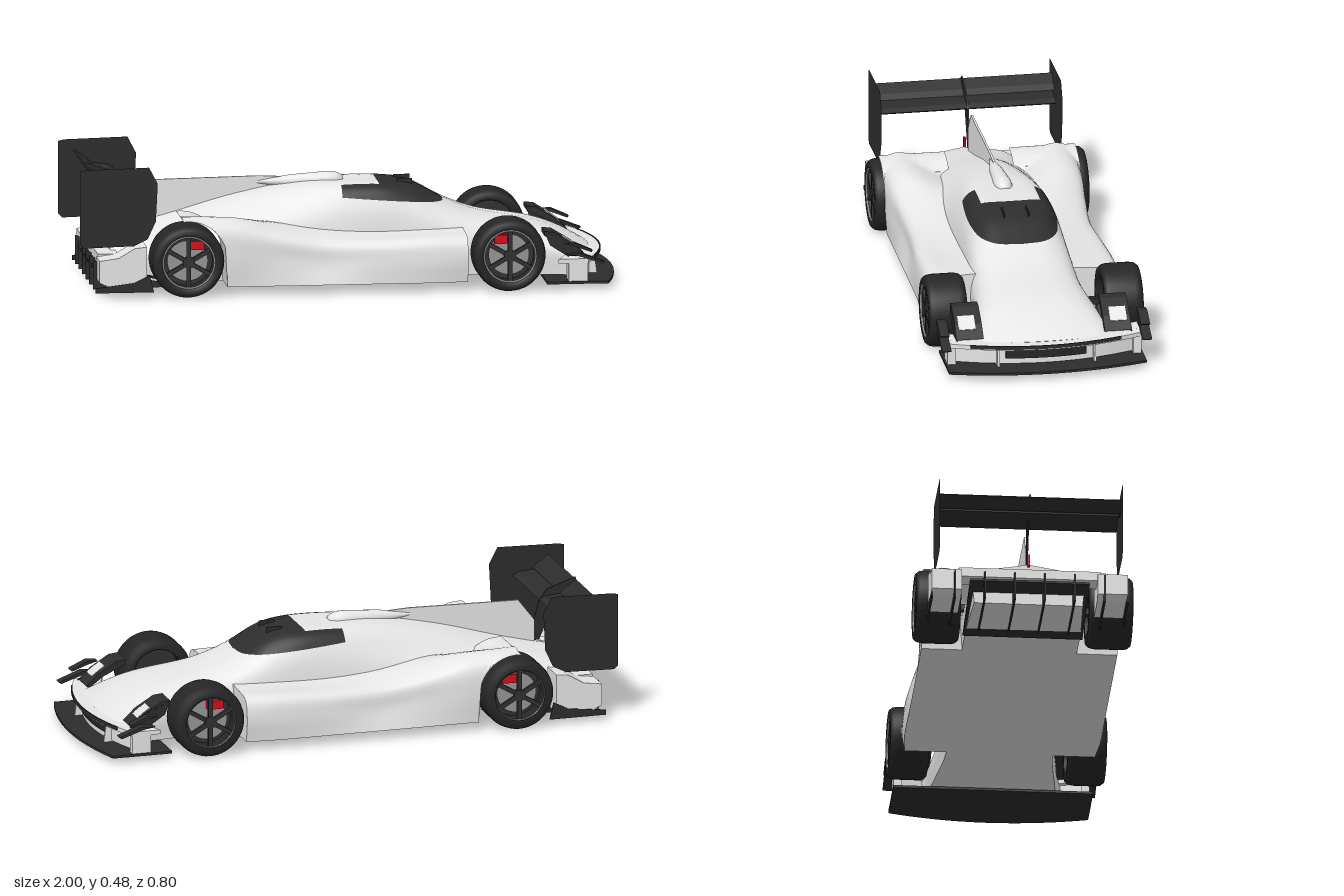
import * as THREE from 'three';
import { toCreasedNormals } from 'three/addons/utils/BufferGeometryUtils.js';

const mat = (name, color, side = THREE.FrontSide) => {
  const m = new THREE.MeshStandardMaterial({ color, side });
  m.name = name;
  return m;
};

// Half cross-section: flat floor from the first point, then a spline through the rest
function profile(pts, n = 22) {
  const v = pts.map(([z, y]) => new THREE.Vector3(0, y, z));
  return [v[0], ...new THREE.CatmullRomCurve3(v.slice(1)).getPoints(n)];
}

// Closed skin through rings ordered from low x to high x, with end caps
function loft(stations, rows, warp) {
  const n = stations[0].ring.length, pos = [], idx = [];
  const lines = stations[0].ring.map((_, i) =>
    new THREE.CatmullRomCurve3(stations.map(s => s.ring[i].clone().setX(s.x))));
  for (let r = 0; r <= rows; r++) for (const l of lines) {
    const p = l.getPoint(r / rows);
    warp(p);
    pos.push(p.x, p.y, p.z);
  }
  for (let r = 0; r < rows; r++) for (let i = 0; i < n; i++) {
    const a = r * n + i, b = r * n + (i + 1) % n;
    idx.push(a, a + n, b, b, a + n, b + n);
  }
  for (const r of [0, rows]) {
    const c = [0, 0, 0], ctr = pos.length / 3;
    for (let i = 0; i < n; i++) for (let k = 0; k < 3; k++) c[k] += pos[(r * n + i) * 3 + k] / n;
    pos.push(...c);
    for (let i = 0; i < n; i++) {
      const a = r * n + i, b = r * n + (i + 1) % n;
      idx.push(...(r ? [ctr, b, a] : [ctr, a, b]));
    }
  }
  const g = new THREE.BufferGeometry();
  g.setAttribute('position', new THREE.Float32BufferAttribute(pos, 3));
  g.setIndex(idx);
  return toCreasedNormals(g, 0.7);
}

// Triangles as lists of corners [x, y, z, nx, ny, nz], and back to a geometry
function toTriangles(g) {
  const p = g.attributes.position.array, q = g.attributes.normal.array, out = [];
  for (let i = 0; i < p.length; i += 9)
    out.push([0, 3, 6].map(k => [...p.slice(i + k, i + k + 3), ...q.slice(i + k, i + k + 3)]));
  return out;
}
function fromTriangles(tris) {
  const g = new THREE.BufferGeometry(), v = tris.flat();
  g.setAttribute('position', new THREE.Float32BufferAttribute(v.flatMap(c => c.slice(0, 3)), 3));
  g.setAttribute('normal', new THREE.Float32BufferAttribute(v.flatMap(c => c.slice(3)), 3));
  return g;
}

// Split every triangle that crosses the plane f = 0
const cut = (tris, f) => tris.flatMap(t => {
  const d = t.map(f), out = [];
  if (d.every(v => v >= 0) || d.every(v => v <= 0)) return [t];
  for (const s of [1, -1]) {
    const poly = [];
    for (let k = 0; k < 3; k++) {
      const j = (k + 1) % 3;
      if (d[k] * s >= 0) poly.push(t[k]);
      if (d[k] * d[j] < 0) poly.push(t[k].map((v, m) => v + (t[j][m] - v) * d[k] / (d[k] - d[j])));
    }
    for (let k = 2; k < poly.length; k++) out.push([poly[0], poly[k - 1], poly[k]]);
  }
  return out;
});

// Copy reflected to the other side, with corner order restored
function mirrored(g) {
  const m = (g.index ? g.toNonIndexed() : g.clone()).scale(1, 1, -1);
  for (const a of Object.values(m.attributes)) for (let i = 0; i < a.count; i += 3)
    for (let k = 0; k < a.itemSize; k++) {
      const u = (i + 1) * a.itemSize + k, w = (i + 2) * a.itemSize + k;
      [a.array[u], a.array[w]] = [a.array[w], a.array[u]];
    }
  return m;
}

// Side outline in x and y, thickened from z0 to z1
const outline = pts => new THREE.Shape(pts.map(p => new THREE.Vector2(...p)));
const slab = (pts, z0, z1) => new THREE.ExtrudeGeometry(outline(pts), { depth: z1 - z0, bevelEnabled: false }).translate(0, 0, z0);

// Plan outline with a bowed front edge; the back edge bows by its own amount
function bow(xOut, kOut, xIn, kIn, zMax, y0, y1) {
  const pts = [];
  for (let i = 0; i <= 20; i++) { const z = zMax * (i / 10 - 1); pts.push([xOut - kOut * z * z, z]); }
  for (let i = 20; i >= 0; i--) { const z = zMax * (i / 10 - 1); pts.push([xIn - kIn * z * z, z]); }
  return slab(pts, y0, y1).rotateX(-Math.PI / 2);
}

const box = (x0, x1, y0, y1, z0, z1) => new THREE.BoxGeometry(x1 - x0, y1 - y0, z1 - z0)
  .translate((x0 + x1) / 2, (y0 + y1) / 2, (z0 + z1) / 2);

export function createModel() {
  const car = new THREE.Group();
  car.name = 'raceCar';
  const white = mat('bodyWhite', 0xe6e6e6), carbon = mat('carbon', 0x2d2d2d, THREE.DoubleSide);
  const rubber = mat('rubber', 0x262626), rimDark = mat('rimDark', 0x303032);
  const steel = mat('steel', 0x969696), red = mat('red', 0xd0101c);
  const add = (name, g, m, parent = car) => {
    const o = new THREE.Mesh(g, m);
    o.name = name;
    parent.add(o);
  };
  const pair = (name, g, m) => { add(name + 'Left', mirrored(g), m); add(name + 'Right', g, m); };

  // Central body: x, floor width, side height, shoulder z and y, roof edge z and y, top
  const core = loft([
    [-0.87, .20, .12, .15, .165, .06, .185, .195], [-0.65, .21, .15, .16, .2, .07, .235, .25],
    [-0.4, .21, .19, .16, .25, .08, .305, .32], [-0.15, .2, .2, .165, .285, .105, .35, .367],
    [0, .195, .2, .168, .3, .125, .358, .369], [.15, .19, .2, .168, .3, .127, .357, .366],
    [.25, .19, .195, .165, .285, .11, .344, .356], [.38, .195, .17, .168, .24, .1, .281, .29],
    [.5, .2, .155, .165, .212, .1, .238, .245], [.7, .225, .14, .185, .18, .12, .2, .206],
    [.82, .24, .12, .21, .145, .13, .16, .164], [.91, .27, .075, .24, .106, .13, .114, .116],
  ].map(([x, W, sY, G, gY, T, eY, tY]) => {
    const half = profile([[0, .035], [W, .035], [W, sY], [G, gY], [T, eY], [0, tY]]);
    const other = half.slice(1, -1).reverse().map(p => new THREE.Vector3(0, p.y, -p.z));
    return { x, ring: [...half, ...other] };
  }), 120, p => { p.x -= 0.6 * p.z * p.z * THREE.MathUtils.smoothstep(p.x, 0.7, 0.88); });

  // Windscreen and side windows cut cleanly out of the body skin
  const sill = c => c[1] - 0.322 + 0.08 * c[0];
  const panels = [sill, c => c[0] + 0.01, c => c[0] - 0.13, c => c[2] - 0.11, c => c[2] + 0.11].reduce(cut, toTriangles(core));
  const glazed = t => {
    const c = [0, 1, 2].map(k => (t[0][k] + t[1][k] + t[2][k]) / 3);
    return sill(c) > 0 && c[0] > -0.01 && !(c[0] < 0.13 && Math.abs(c[2]) < 0.11);
  };
  add('body', fromTriangles(panels.filter(t => !glazed(t))), white);
  add('canopyGlass', fromTriangles(panels.filter(glazed)), carbon);

  // Side pods swelling into rear fenders, cut away around the rear wheels
  const pod = loft([
    [-.62, [.36, .035], [.365, .16], [.355, .255], [.29, .289], [.15, .22]],
    [-.55, [.36, .035], [.365, .16], [.355, .255], [.29, .286], [.15, .23]],
    [-.42, [.36, .035], [.365, .15], [.35, .245], [.28, .277], [.15, .24]],
    [-.28, [.36, .035], [.35, .14], [.34, .21], [.25, .245], [.12, .24]],
    [-.1, [.36, .035], [.34, .11], [.33, .18], [.24, .21], [.12, .22]],
    [.1, [.36, .035], [.355, .12], [.34, .18], [.24, .195], [.12, .21]],
    [.3, [.36, .035], [.364, .12], [.345, .19], [.24, .2], [.12, .21]],
    [.43, [.35, .035], [.36, .13], [.34, .19], [.24, .205], [.12, .21]],
  ].map(([x, ...p]) => ({ x, ring: profile([[.12, .035], ...p], 18) })), 110, p => {
    const d = p.x + 0.605;
    if (Math.abs(d) < 0.146) p.y = Math.max(p.y, 0.135 + Math.sqrt(0.146 ** 2 - d * d));
  });
  pair('sidePod', pod, white);

  // Nose lip, recessed duct panel, mouth and splitter
  add('noseLip', bow(.95, .6, .84, .6, .36, .098, .114), white);
  add('noseLipEdge', bow(.954, .6, .949, .6, .28, .103, .116), carbon);
  add('ductPanel', bow(.915, .6, .86, .6, .33, .035, .1), white);
  add('mouth', bow(.922, .6, .914, .6, .15, .057, .098), rubber);
  add('splitter', bow(1, .4, .72, 0, .367, .022, .031), carbon);
  pair('noseStrake', slab([[.86, .03], [.925, .03], [.915, .1], [.84, .1]], .175, .183), white);
  pair('noseCorner', slab([[.8, .03], [.87, .03], [.87, .1], [.84, .115], [.8, .1]], .33, .36), white);

  // Louvres ahead of the front wheels, with a pale insert, and dive planes
  pair('wheelLouvre', slab([[.715, .212], [.75, .208], [.82, .165], [.865, .122], [.85, .118], [.8, .155], [.715, .195]], .225, .325), carbon);
  pair('louvreCheek', slab([[.715, .21], [.8, .172], [.87, .12], [.8, .118], [.735, .16]], .321, .326), carbon);
  pair('louvreInsert', slab([[.785, .185], [.789, .189], [.838, .152], [.834, .148]], .25, .312), white);
  pair('lowerDivePlane', slab([[.79, .135], [.83, .13], [.92, .1], [.93, .106], [.84, .14]], .355, .39), carbon);
  pair('upperDivePlane', slab([[.78, .175], [.82, .165], [.88, .143], [.885, .149], [.82, .178]], .355, .39), carbon);

  // Roof intake, tapering backwards, aerials and the centre fin
  const intake = new THREE.LatheGeometry([[0, .01], [.02, .008], [.033, -.02], [.034, -.06], [.024, -.19], [0, -.34]]
    .reverse().map(p => new THREE.Vector2(...p)), 20).rotateZ(-Math.PI / 2).translate(0, .362, 0);
  add('roofIntake', intake, white);
  add('centreFin', slab([[-.1, .35], [-.1, .375], [-.3, .385], [-.72, .378], [-.78, .3], [-.78, .2], [-.4, .29]], -.004, .004), white);
  for (const z of [-.045, .045]) add('roofAerial', box(.2, .26, .352, .372, z - .002, z + .002), carbon);

  // Rear wing with its centre blade and thin endplates
  add('wingMainPlane', slab([[-.8, .372], [-.82, .384], [-.91, .392], [-.91, .386], [-.84, .367], [-.81, .365]], -.327, .327), carbon);
  add('wingFlap', slab([[-.88, .392], [-.9, .41], [-.942, .437], [-.946, .432], [-.91, .394]], -.335, .335), carbon);
  add('wingSupport', slab([[-.8, .37], [-.83, .41], [-.94, .447], [-.945, .43], [-.86, .36], [-.8, .22], [-.76, .22]], -.003, .003), carbon);
  pair('wingEndplate', new THREE.ShapeGeometry(outline([[-1, .2], [-.985, .185], [-.8, .19], [-.75, .215], [-.72, .28], [-.713, .42],
    [-.745, .481], [-.98, .475], [-1, .47]])).translate(0, 0, .336), carbon);

  // Rear corners, tail panel, diffuser and lamp
  pair('rearCorner', slab([[-.93, .06], [-.9, .045], [-.755, .045], [-.755, .19], [-.8, .185], [-.86, .15], [-.93, .14]], .25, .36), white);
  pair('rearSkirt', slab([[-.945, .022], [-.73, .022], [-.745, .085], [-.8, .058], [-.945, .04]], .356, .363), carbon);
  add('tailPanel', box(-.925, -.85, .115, .15, -.26, .26), white);
  add('diffuser', slab([[-.6, .026], [-.6, .034], [-.94, .1], [-.94, .092]], -.22, .22), carbon);
  for (let i = 0; i < 6; i++) {
    const z = (i - 2.5) * .11;
    add('diffuserFin', slab([[-.945, .022], [-.77, .022], [-.62, .03], [-.77, .06], [-.945, .13]], z - .003, z + .003), carbon);
  }
  add('rearLamp', box(-.885, -.868, .185, .23, -.004, .004), red);

  // Wheels: tyre, rim ring, six spokes, brake disc and caliper
  const tyre = (w) => new THREE.LatheGeometry([[.098, -w], [.12, -w], [.13, -w + .012], [.1335, -w + .03],
    [.1335, w - .03], [.13, w - .012], [.12, w], [.098, w], [.094, w - .012], [.094, -w], [.098, -w]]
    .map(p => new THREE.Vector2(...p)), 48).rotateX(Math.PI / 2);
  for (const [end, x, zIn] of [['front', .58, .255], ['rear', -.605, .235]]) for (const s of [1, -1]) {
    const wheel = new THREE.Group(), w = (.398 - zIn) / 2;
    wheel.name = end + 'Wheel' + (s > 0 ? 'Right' : 'Left');
    wheel.position.set(x, .1345, s * (zIn + w));
    const f = s * (w - .012);
    add('tyre', tyre(w), rubber, wheel);
    add('rimRing', new THREE.TorusGeometry(.095, .004, 8, 40).translate(0, 0, s * (w - .004)), steel, wheel);
    add('hub', new THREE.CylinderGeometry(.022, .022, .02, 20).rotateX(Math.PI / 2).translate(0, 0, f), rimDark, wheel);
    for (let i = 0; i < 6; i++)
      add('spoke', box(.015, .096, -.008, .008, f - .007, f + .007).rotateZ(i * Math.PI / 3 + Math.PI / 6), rimDark, wheel);
    add('brakeDisc', new THREE.CylinderGeometry(.075, .075, .012, 32).rotateX(Math.PI / 2).translate(0, 0, f - s * .04), steel, wheel);
    add('wheelBack', new THREE.CylinderGeometry(.095, .095, .01, 32).rotateX(Math.PI / 2).translate(0, 0, f - s * .06), rimDark, wheel);
    const q = f - s * .026, cx = end === 'front' ? -.025 : .03;
    add('caliper', box(cx - .03, cx + .03, .043, .075, q - .012, q + .012), red, wheel);
    add('axle', box(-.012, .012, -.012, .012, s > 0 ? -w - .07 : w - .04, s > 0 ? -w + .04 : w + .07), carbon, wheel);
    car.add(wheel);
  }
  return car;
}
